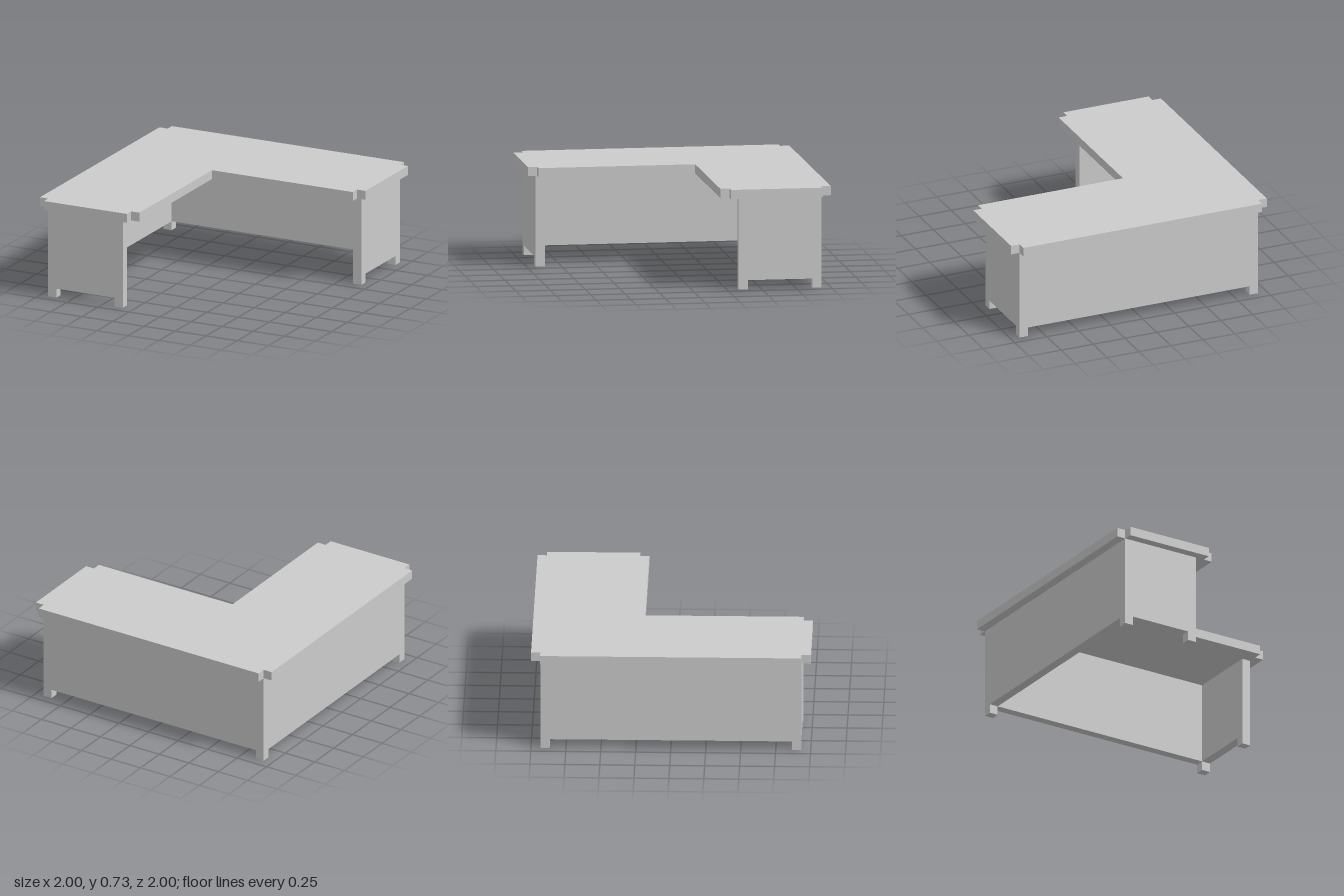
import * as THREE from 'three';

const U = 1 / 15; // board thickness, foot size and notch size
const E = 14 * U; // outer face of the panels
const TOP = 10 * U; // underside of the desk top

export function createModel() {
  const group = new THREE.Group();
  const material = new THREE.MeshStandardMaterial({ color: 0xcccccc, flatShading: true });

  const addBox = (name, x0, x1, y0, y1, z0, z1) => {
    const mesh = new THREE.Mesh(new THREE.BoxGeometry(x1 - x0, y1 - y0, z1 - z0), material);
    mesh.position.set((x0 + x1) / 2, (y0 + y1) / 2, (z0 + z1) / 2);
    mesh.name = name;
    group.add(mesh);
  };

  // L-shaped top with a square notch at each outer corner, outline as (x, -z)
  const n = 1 - U;
  const i = -0.2;
  const outline = [
    [-n, -1], [i - U, -1], [i - U, -n], [i, -n],
    [i, -i], [n, -i], [n, -i + U], [1, -i + U],
    [1, n], [n, n], [n, 1], [-n, 1],
    [-n, n], [-1, n], [-1, -n], [-n, -n],
  ].map(([x, y]) => new THREE.Vector2(x, y));
  const topGeometry = new THREE.ExtrudeGeometry(new THREE.Shape(outline), { depth: U, bevelEnabled: false });
  topGeometry.rotateX(-Math.PI / 2);
  const deskTop = new THREE.Mesh(topGeometry, material);
  deskTop.position.y = TOP;
  deskTop.name = 'deskTop';
  group.add(deskTop);

  // Upright panels: two long ones along the outside, two short ones at the wing ends
  addBox('backPanel', -E, E, U, TOP, -E, -E + U);
  addBox('longSidePanel', -E, -E + U, U, TOP, -E + U, E - U);
  addBox('frontEndPanel', -E, -5 * U, U, TOP, E - U, E);
  addBox('sideEndPanel', E - U, E, U, TOP, -E + U, -5 * U);

  // Feet under the panel ends
  const c = E - U / 2;
  const w = -5.5 * U;
  for (const [x, z] of [[-c, -c], [c, -c], [-c, c], [w, c], [c, w]]) {
    addBox('foot', x - U / 2, x + U / 2, 0, U, z - U / 2, z + U / 2);
  }
  return group;
}
